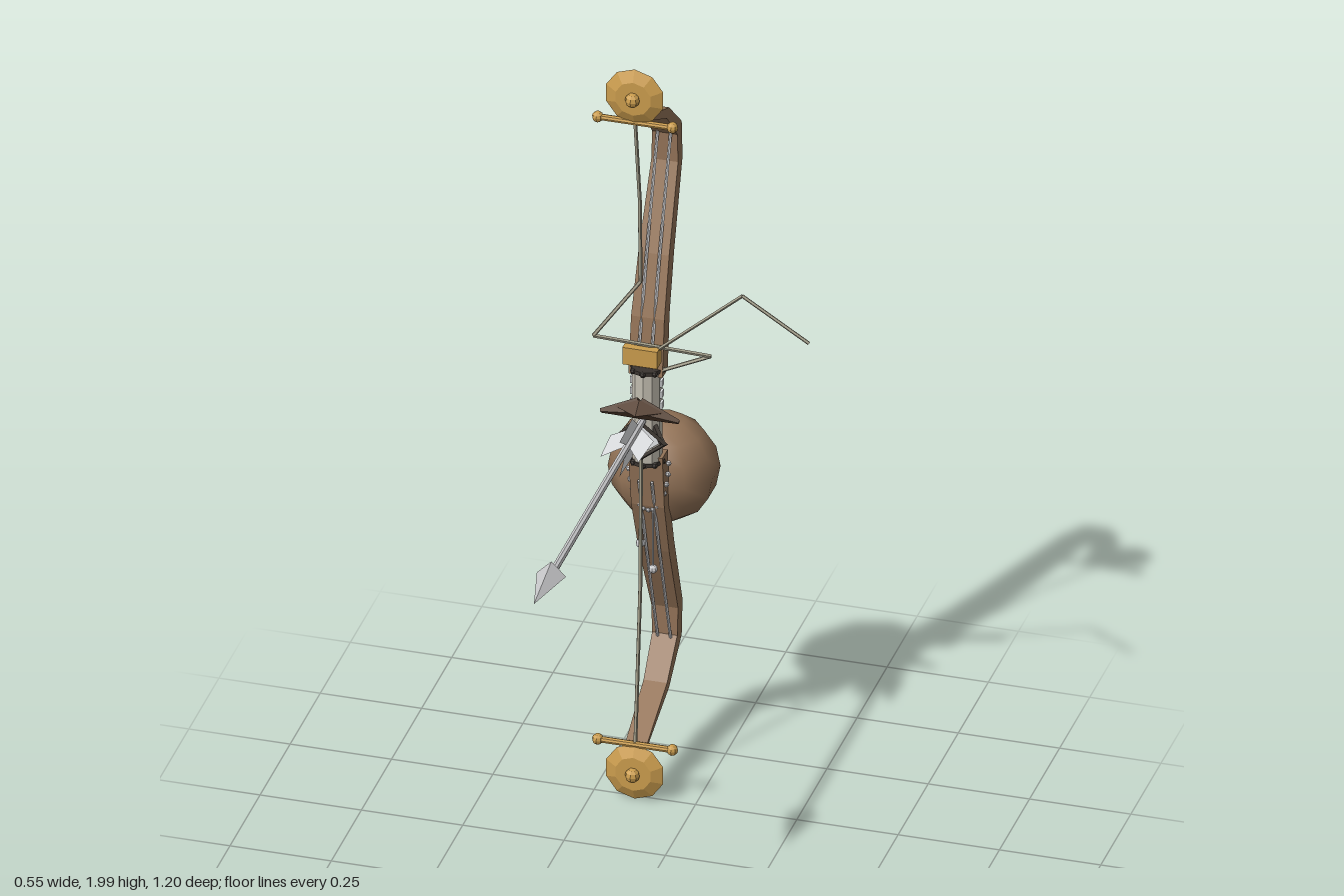
import * as THREE from 'three';

const mat = (name, color, flat = true) => {
  const m = new THREE.MeshStandardMaterial({ color, flatShading: flat });
  m.name = name;
  return m;
};
const V = (x, y, z) => new THREE.Vector3(x, y, z);

export function createModel() {
  const wood = mat('wood', 0x947458);
  const orbWood = mat('orb brown', 0x947458, false);
  const gold = mat('gold', 0xcb9d4e);
  const steel = mat('steel', 0xcacacc);
  const gripGrey = mat('grip grey', 0xc2bdb0);
  const dark = mat('dark iron', 0x3a342f);
  const darkWood = mat('dark wood', 0x553f2f);
  const cord = mat('cord', 0xa39e8a);
  const pale = mat('pale feather', 0xe6e8ea);
  pale.side = THREE.DoubleSide;

  // Local origin: middle of the grip, in line with the bow.
  const bow = new THREE.Group();
  bow.name = 'bow';
  bow.position.set(-0.146, 1.003, 0);

  const add = (parent, name, geo, material, x = 0, y = 0, z = 0) => {
    const m = new THREE.Mesh(geo, material);
    m.name = name;
    m.position.set(x, y, z);
    parent.add(m);
    return m;
  };
  // Straight rod between two points
  const rod = (parent, name, a, b, r, material, sides = 5) => {
    const d = b.clone().sub(a);
    const m = add(parent, name, new THREE.CylinderGeometry(r, r, d.length(), sides), material);
    m.position.copy(a).addScaledVector(d, 0.5);
    m.quaternion.setFromUnitVectors(V(0, 1, 0), d.normalize());
    return m;
  };
  const line = (parent, name, pts, r, material) => {
    for (let i = 0; i + 1 < pts.length; i++) rod(parent, name, V(...pts[i]), V(...pts[i + 1]), r, material);
  };

  // Limb: rectangular sections [front y, front z, back y, back z, half width]
  const sections = [
    [0.11, -0.325, 0.11, -0.37, 0.042],
    [0.257, -0.345, 0.25, -0.388, 0.041],
    [0.405, -0.395, 0.395, -0.436, 0.038],
    [0.61, -0.486, 0.605, -0.523, 0.033],
    [0.685, -0.486, 0.702, -0.523, 0.031],
    [0.772, -0.408, 0.793, -0.425, 0.029],
    [0.858, -0.24, 0.868, -0.237, 0.026],
  ];
  const limbGeometry = () => {
    const pos = [], idx = [];
    for (const [fy, fz, by, bz, w] of sections) pos.push(w, fy, fz, w, by, bz, -w, by, bz, -w, fy, fz);
    for (let i = 0; i + 1 < sections.length; i++) {
      for (let j = 0; j < 4; j++) {
        const a = i * 4 + j, b = i * 4 + (j + 1) % 4;
        idx.push(a, b, b + 4, a, b + 4, a + 4);
      }
    }
    const e = (sections.length - 1) * 4;
    idx.push(0, 2, 1, 0, 3, 2, e, e + 1, e + 2, e, e + 2, e + 3);
    const g = new THREE.BufferGeometry();
    g.setAttribute('position', new THREE.Float32BufferAttribute(pos, 3));
    g.setIndex(idx);
    g.computeVertexNormals();
    return g;
  };

  // One half of the bow; the lower half is the same turned over
  for (const lower of [false, true]) {
    const half = new THREE.Group();
    half.name = lower ? 'lowerHalf' : 'upperHalf';
    if (lower) half.rotation.z = Math.PI;
    bow.add(half);
    add(half, 'limb', limbGeometry(), wood);
    for (const x of [-0.016, 0.016]) {
      line(half, 'limbRod', [[x, 0.18, -0.327], [x, 0.4, -0.389], [x, 0.69, -0.482]], 0.004, steel);
    }
    // End wheel
    for (const s of [-1, 1]) {
      const rim = add(half, 'wheel', new THREE.CylinderGeometry(0.045, 0.074, 0.014, 10), gold, 0, 0.923, -0.236 + s * 0.007);
      rim.rotation.x = s * Math.PI / 2;
    }
    add(half, 'wheelKnob', new THREE.SphereGeometry(0.018, 8, 6), gold, 0, 0.923, -0.217);
    // Cross bar with ball ends
    rod(half, 'crossBar', V(-0.09, 0.851, -0.24), V(0.09, 0.851, -0.24), 0.008, gold, 8);
    for (const s of [-1, 1]) add(half, 'barBall', new THREE.SphereGeometry(0.014, 8, 6), gold, s * 0.092, 0.851, -0.24);
    // Grip collar and studs
    add(half, 'collar', new THREE.CylinderGeometry(0.039, 0.039, 0.01, 10), dark, 0, 0.125, -0.34);
    for (let i = 0; i < 8; i++) {
      const a = i * Math.PI / 4;
      add(half, 'collarStud', new THREE.SphereGeometry(0.008, 6, 4), dark, Math.cos(a) * 0.038, 0.125, -0.34 + Math.sin(a) * 0.038);
    }
  }

  // Grip with pale side inlays
  add(bow, 'grip', new THREE.CylinderGeometry(0.036, 0.036, 0.245, 10), gripGrey, 0, 0, -0.34);
  for (const s of [-1, 1]) {
    for (let i = 0; i < 3; i++) {
      add(bow, 'gripInlay', new THREE.BoxGeometry(0.009, 0.018, 0.016), pale, s * 0.035, 0.03 + i * 0.03, -0.338);
    }
  }

  // Snapped bowstring
  line(bow, 'upperString', [[0, 0.85, -0.24], [0, 0.615, -0.278], [0, 0.39, -0.285],
    [-0.108, 0.24, -0.257], [0.155, 0.176, -0.348], [0.022, 0.12, -0.33]], 0.005, cord);
  line(bow, 'looseString', [[0.02, 0.185, -0.302], [0.25, 0.39, -0.288], [0.415, 0.287, -0.288]], 0.0045, cord);
  line(bow, 'lowerString', [[0, -0.06, -0.288], [0, -0.435, -0.283], [0, -0.855, -0.24]], 0.005, cord);

  // Sight block
  add(bow, 'sightBlock', new THREE.BoxGeometry(0.086, 0.046, 0.036), gold, 0, 0.183, -0.297);

  // Dark arrow rest: swept wings above a diamond frame
  for (const s of [-1, 1]) {
    const wing = add(bow, 'restWing', new THREE.CylinderGeometry(0.006, 0.03, 0.1, 4), darkWood, s * 0.048, 0.035, -0.28);
    wing.scale.z = 0.8;
    wing.rotation.z = -s * (Math.PI / 2 + 0.22);
  }
  const ridge = add(bow, 'restRidge', new THREE.OctahedronGeometry(1), darkWood, 0, 0.045, -0.275);
  ridge.scale.set(0.06, 0.027, 0.035);
  const frame = add(bow, 'restFrame', new THREE.TorusGeometry(0.06, 0.008, 4, 4), dark, 0, -0.045, -0.285);
  frame.scale.y = 0.8;
  const panel = add(bow, 'restPanel', new THREE.CircleGeometry(0.05, 4), pale, 0, -0.045, -0.291);
  panel.scale.y = 0.8;
  for (const s of [-1, 1]) rod(bow, 'restStrut', V(s * 0.055, -0.045, -0.285), V(s * 0.022, -0.02, -0.325), 0.008, dark);

  // Arrow
  const arrow = new THREE.Group();
  arrow.name = 'arrow';
  bow.add(arrow);
  rod(arrow, 'shaft', V(0, 0, -0.3), V(0, 0, 0.47), 0.0095, steel, 8);
  const head = add(arrow, 'arrowhead', new THREE.ConeGeometry(0.036, 0.145, 4), steel, 0, 0, 0.5275);
  head.rotation.x = Math.PI / 2;
  const fin = new THREE.Shape([[-0.275, 0], [-0.215, 0.053], [-0.11, 0.047], [-0.18, 0]].map(p => new THREE.Vector2(...p)));
  for (let i = 0; i < 4; i++) {
    const g = new THREE.ShapeGeometry(fin).rotateY(-Math.PI / 2).rotateZ(i * Math.PI / 2);
    add(arrow, 'fletching', g, pale);
  }

  // Faceted orb behind the lower limb
  const orb = add(bow, 'orb', new THREE.SphereGeometry(1, 10, 8).rotateY(Math.PI / 10), orbWood, 0, -0.222, -0.481);
  orb.scale.set(0.135, 0.138, 0.118);

  // Hanging beads
  for (let i = 0; i <= 14; i++) {
    const a = Math.PI * i / 14;
    add(bow, 'bead', new THREE.SphereGeometry(0.007, 6, 4), steel, Math.cos(a) * 0.05, -0.135 - Math.sin(a) * 0.135, -0.35);
  }
  for (const [x, y] of [[-0.02, -0.365], [0.012, -0.43]]) {
    rod(bow, 'pendantCord', V(x, -0.26, -0.35), V(x, y, -0.35), 0.003, steel);
    add(bow, 'pendant', new THREE.SphereGeometry(0.011, 8, 6), steel, x, y, -0.35);
  }

  const root = new THREE.Group();
  root.name = 'bowAndArrow';
  root.add(bow);
  return root;
}
